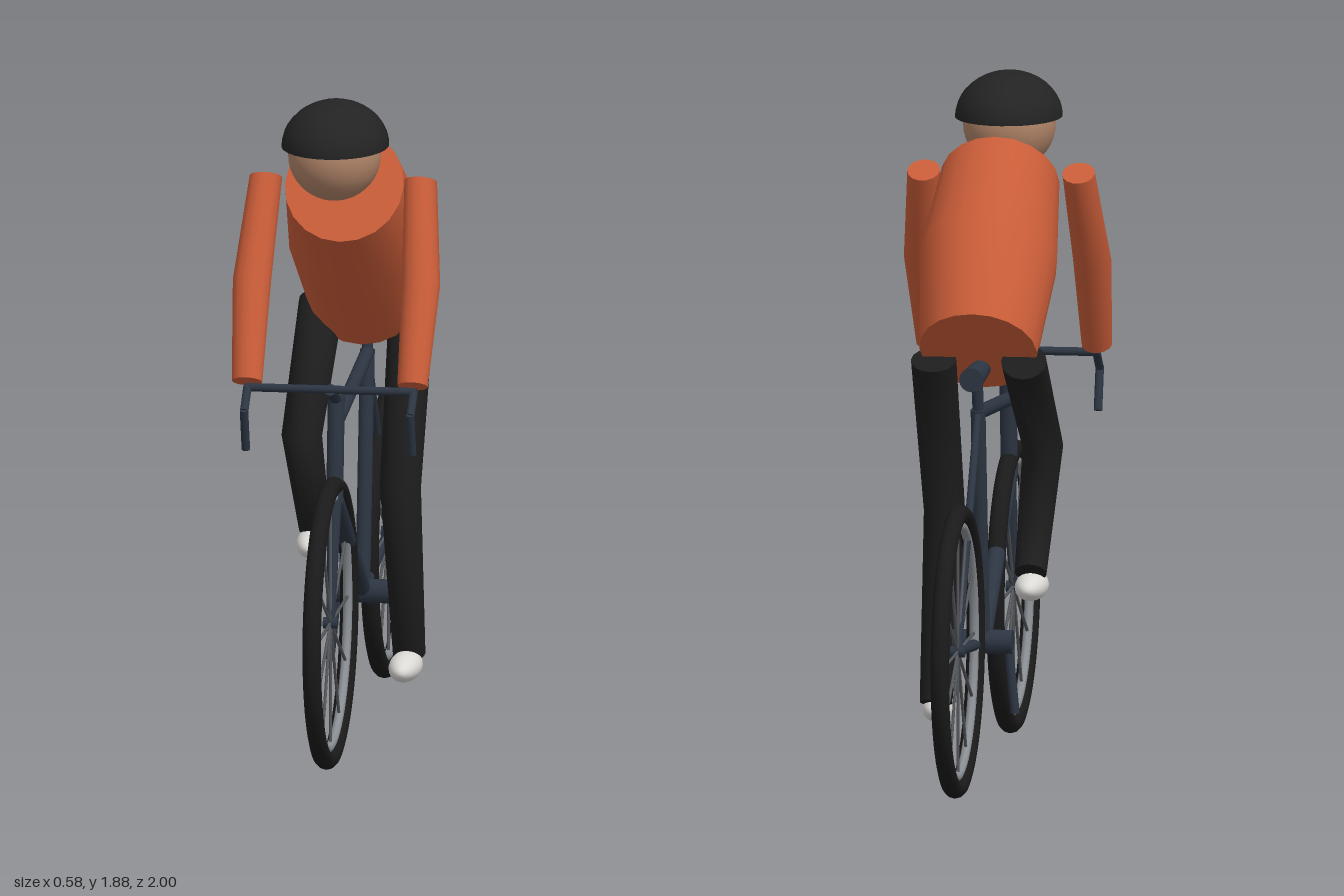
import * as THREE from 'three';

const mat = (name, color) => {
  const m = new THREE.MeshStandardMaterial({ color });
  m.name = name;
  return m;
};
const V = (x, y, z) => new THREE.Vector3(x, y, z);

// Closed body through elliptical rings, mitred at the bends.
// Each ring: [x, y, z, half width in x, half depth]
function loft(rings, sides) {
  const pos = [], index = [], X = V(1, 0, 0);
  const centres = rings.map(r => V(r[0], r[1], r[2]));
  const n = rings.length;
  const dir = i => centres[i + 1].clone().sub(centres[i]).setX(0).normalize();
  const loops = rings.map((r, i) => {
    const before = dir(Math.max(i - 1, 0)), after = dir(Math.min(i, n - 2));
    const t = before.clone().add(after).normalize();
    const side = t.clone().cross(X), depth = r[4] / t.dot(before);
    return Array.from({ length: sides }, (_, j) => {
      const a = j / sides * Math.PI * 2;
      return centres[i].clone().addScaledVector(X, Math.cos(a) * r[3]).addScaledVector(side, Math.sin(a) * depth);
    });
  });
  loops.forEach(loop => loop.forEach(p => pos.push(p.x, p.y, p.z)));
  for (let i = 0; i < n - 1; i++) {
    for (let j = 0; j < sides; j++) {
      const k = (j + 1) % sides, a = i * sides + j, b = i * sides + k;
      index.push(a, b, a + sides, b, b + sides, a + sides);
    }
  }
  // flat end caps with their own vertices
  [0, n - 1].forEach(e => {
    const s = pos.length / 3;
    [...loops[e], centres[e]].forEach(p => pos.push(p.x, p.y, p.z));
    for (let j = 0; j < sides; j++) {
      const k = (j + 1) % sides;
      if (e) index.push(s + sides, s + j, s + k);
      else index.push(s + sides, s + k, s + j);
    }
  });
  const g = new THREE.BufferGeometry();
  g.setAttribute('position', new THREE.Float32BufferAttribute(pos, 3));
  g.setIndex(index);
  g.computeVertexNormals();
  return g;
}

export function createModel() {
  const root = new THREE.Group();
  root.name = 'cyclist';
  const shirt = mat('orange shirt', 0xc85c38);
  const trousers = mat('black trousers', 0x1d1d1d);
  const helmetMat = mat('helmet black', 0x232323);
  const skin = mat('skin', 0xb08468);
  const paint = mat('frame blue grey', 0x2c3542);
  const rubber = mat('tyre black', 0x1a1a1a);
  const metal = mat('rim grey', 0x8a8f94);
  const wire = mat('spoke grey', 0x55585c);
  const shoeMat = mat('shoe white', 0xdcdad6);

  const add = (name, geo, material, parent = root) => {
    const m = new THREE.Mesh(geo, material);
    m.name = name;
    parent.add(m);
    return m;
  };
  // Straight round bar between two points
  const bar = (name, a, b, r0, r1 = r0, material = paint, parent = root, sides = 12) => {
    const d = b.clone().sub(a);
    const m = add(name, new THREE.CylinderGeometry(r1, r0, d.length(), sides), material, parent);
    m.position.copy(a).add(b).multiplyScalar(0.5);
    m.quaternion.setFromUnitVectors(V(0, 1, 0), d.normalize());
    return m;
  };

  // Wheels
  const axleY = 0.413;
  for (const [name, z] of [['frontWheel', 0.59], ['rearWheel', -0.59]]) {
    const wheel = new THREE.Group();
    wheel.name = name;
    wheel.position.set(0, axleY, z);
    root.add(wheel);
    add('tyre', new THREE.TorusGeometry(0.384, 0.026, 12, 64), rubber, wheel).rotation.y = Math.PI / 2;
    add('rim', new THREE.TorusGeometry(0.351, 0.013, 8, 64), metal, wheel).rotation.y = Math.PI / 2;
    for (let i = 0; i < 12; i++) {
      const a = i * Math.PI / 6;
      bar('spoke', V(0, 0, 0), V(0, Math.sin(a) * 0.345, Math.cos(a) * 0.345), 0.0045, 0.0045, wire, wheel, 6);
    }
    bar('hub', V(-0.02, 0, 0), V(0.02, 0, 0), 0.016, 0.016, paint, wheel);
  }

  // Bicycle frame
  const crank = V(0, 0.36, -0.065), seatTop = V(0, 1.03, -0.16);
  const headTop = V(0, 1.035, 0.472), headLow = V(0, 0.75, 0.505);
  bar('headTube', headLow, headTop, 0.024);
  bar('fork', V(0, axleY, 0.59), headLow, 0.012, 0.02);
  bar('topTube', V(0, 0.96, 0.47), V(0, 1.02, -0.155), 0.02);
  bar('downTube', headLow, crank, 0.025);
  bar('seatTube', crank, seatTop, 0.021);
  bar('seatPost', seatTop, V(0, 1.13, -0.18), 0.016);
  bar('seatStay', seatTop, V(0, axleY, -0.59), 0.011);
  bar('chainStay', crank, V(0, axleY, -0.59), 0.018, 0.013);
  bar('saddle', V(0, 1.135, -0.305), V(0, 1.135, -0.06), 0.034, 0.026, paint, root, 16);

  // Crank
  bar('bottomBracket', V(-0.085, 0.36, -0.065), V(0.082, 0.36, -0.065), 0.034, 0.034, paint, root, 16);
  bar('crankArm', V(-0.072, 0.36, -0.065), V(-0.093, 0.16, -0.072), 0.013);

  // Handlebar
  bar('stem', V(0, 1.025, 0.468), V(0, 1.08, 0.595), 0.017);
  bar('handlebar', V(-0.242, 1.08, 0.59), V(0.242, 1.08, 0.59), 0.012);

  // Torso
  add('torso', loft([
    [0, 1.195, -0.155, 0.165, 0.177],
    [0, 1.418, 0.06, 0.193, 0.204],
    [0, 1.603, 0.31, 0.167, 0.174]], 20), shirt);

  // Arms, handlebar drops and feet
  for (const s of [1, -1]) {
    const side = s > 0 ? 'left' : 'right';
    add(side + 'Arm', loft([
      [s * 0.218, 1.625, 0.33, 0.046, 0.05],
      [s * 0.238, 1.36, 0.468, 0.054, 0.05],
      [s * 0.233, 1.1, 0.605, 0.043, 0.043]], 14), shirt);
    const x = s * 0.234;
    bar(side + 'DropUpper', V(x, 1.08, 0.59), V(x, 1.025, 0.657), 0.012);
    bar(side + 'DropLower', V(x, 1.03, 0.66), V(x, 0.91, 0.622), 0.012);
    const shoe = add(side + 'Shoe', new THREE.SphereGeometry(1, 24, 16), shoeMat);
    shoe.scale.set(0.046, 0.04, 0.112);
    shoe.position.set(s * 0.13, s > 0 ? 0.163 : 0.51, 0);
  }

  // Legs: left stretched down, right with the knee raised
  add('leftLeg', loft([
    [0.127, 1.165, -0.145, 0.064, 0.057],
    [0.13, 0.7, 0.108, 0.058, 0.057],
    [0.13, 0.185, -0.07, 0.046, 0.047]], 16), trousers);
  add('rightLeg', loft([
    [-0.127, 1.165, -0.145, 0.064, 0.057],
    [-0.13, 0.868, 0.235, 0.057, 0.055],
    [-0.13, 0.55, -0.025, 0.045, 0.046]], 16), trousers);

  // Head and helmet
  add('head', new THREE.SphereGeometry(0.13, 28, 20), skin).position.set(0, 1.735, 0.508);
  const helmet = new THREE.Group();
  helmet.name = 'helmet';
  helmet.position.set(0, 1.757, 0.493);
  helmet.scale.set(0.15, 0.128, 0.188);
  root.add(helmet);
  add('helmetShell', new THREE.SphereGeometry(1, 28, 10, 0, Math.PI * 2, 0, Math.PI / 2), helmetMat, helmet);
  add('helmetBase', new THREE.CircleGeometry(1, 28), helmetMat, helmet).rotation.x = Math.PI / 2;

  return root;
}
